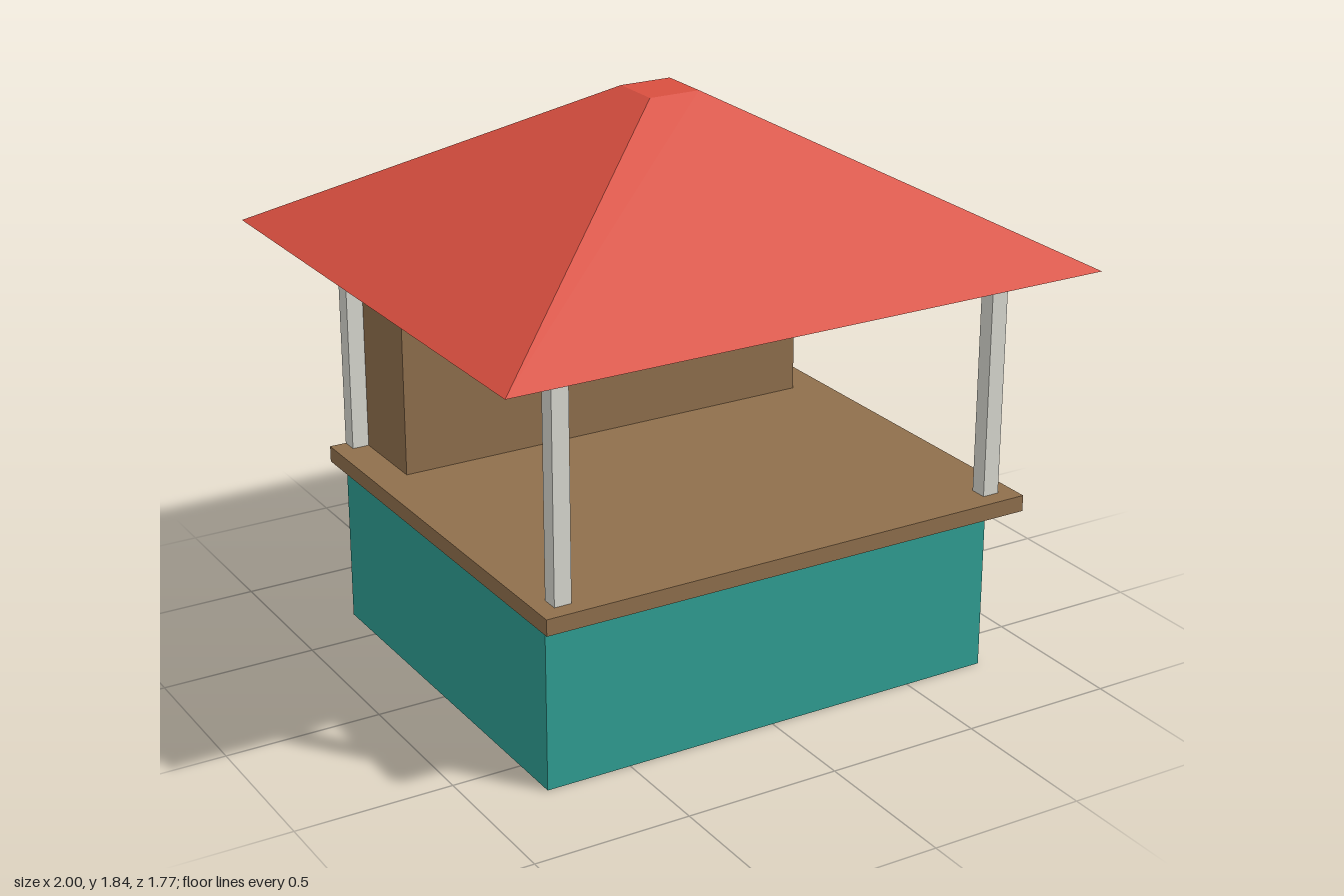
import * as THREE from 'three';

const material = (name, color, side = THREE.FrontSide) => {
  const m = new THREE.MeshStandardMaterial({ color, side });
  m.name = name;
  return m;
};

// Box given by its lower and upper corners
function block(name, mat, [x0, y0, z0], [x1, y1, z1]) {
  const mesh = new THREE.Mesh(new THREE.BoxGeometry(x1 - x0, y1 - y0, z1 - z0), mat);
  mesh.position.set((x0 + x1) / 2, (y0 + y1) / 2, (z0 + z1) / 2);
  mesh.name = name;
  return mesh;
}

// Box whose top face is shrunk to a small flat cap
function hippedRoof(mat) {
  const geo = new THREE.BoxGeometry(2, 0.495, 1.77).toNonIndexed();
  const p = geo.attributes.position;
  for (let i = 0; i < p.count; i++) {
    if (p.getY(i) > 0) {
      p.setX(i, Math.sign(p.getX(i)) * 0.085);
      p.setZ(i, Math.sign(p.getZ(i)) * 0.085);
    }
  }
  geo.computeVertexNormals();
  const mesh = new THREE.Mesh(geo, mat);
  mesh.position.y = 1.34 + 0.2475;
  mesh.name = 'roof';
  return mesh;
}

export function createModel() {
  const teal = material('teal paint', 0x2f9e92, THREE.DoubleSide);
  const brown = material('brown wood', 0x8f6f4c);
  const grey = material('pale grey', 0xd8d8d0);
  const red = material('red roof', 0xd94f40);
  const model = new THREE.Group();
  model.name = 'kiosk';

  // Hollow base, open underneath: drop the bottom face of the box
  const base = block('base', teal, [-0.777, 0, -0.667], [0.777, 0.558, 0.667]);
  const index = Array.from(base.geometry.index.array);
  index.splice(18, 6);
  base.geometry.setIndex(index);
  base.geometry.clearGroups();
  model.add(base);

  // Counter overhangs the sides and front, flush at the back
  model.add(block('counter', brown, [-0.832, 0.56, -0.667], [0.832, 0.612, 0.78]));

  // Cabinet between the back posts
  model.add(block('backCabinet', brown, [-0.722, 0.612, -0.667], [0.722, 1.222, -0.333]));

  // Four corner posts
  for (const [x, side] of [[-0.777, 'right'], [0.722, 'left']]) {
    for (const [z, end] of [[0.67, 'front'], [-0.667, 'back']]) {
      model.add(block(`${end}Post ${side}`, grey, [x, 0.612, z], [x + 0.055, 1.34, z + 0.055]));
    }
  }

  model.add(hippedRoof(red));
  return model;
}
